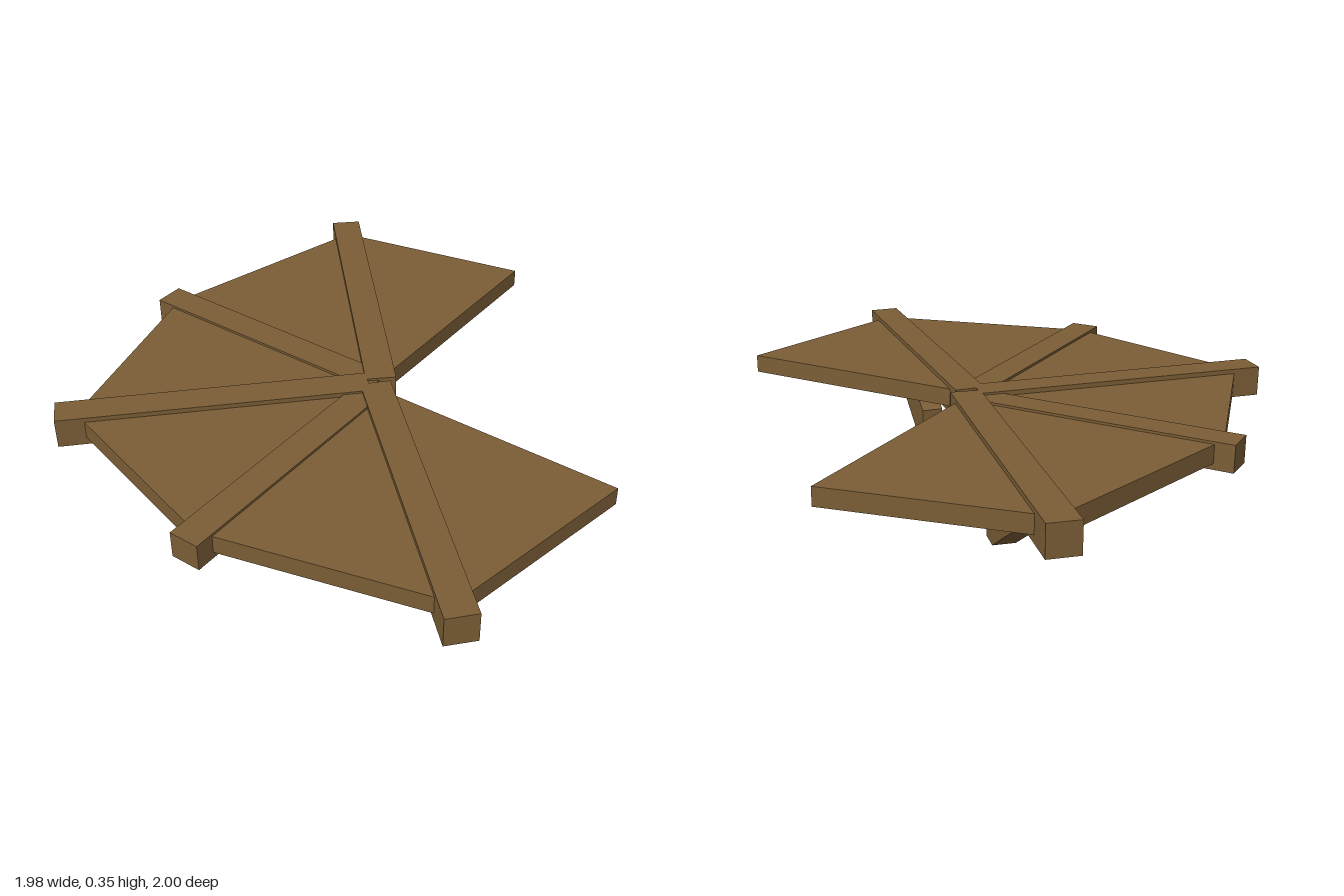
import * as THREE from 'three';

export function createModel() {
  const model = new THREE.Group();
  model.name = 'segmentedPlatform';
  const wood = new THREE.MeshStandardMaterial({ color: 0x7a5d36 });
  wood.name = 'brown wood';

  const extrude = (points, depth) => new THREE.ExtrudeGeometry(
    new THREE.Shape(points.map(([x, y]) => new THREE.Vector2(x, y))),
    { depth, bevelEnabled: false });
  const add = (parent, name, geometry) => {
    const mesh = new THREE.Mesh(geometry, wood);
    mesh.name = name;
    parent.add(mesh);
  };

  // Radial beams: outer end, inner end, bottom and top heights
  const beams = [
    { out: [-0.77, -0.905], inner: [0.025, -0.043], low: 0.245, high: 0.355 },
    { out: [-0.99, -0.035], inner: [0.02, -0.035], low: 0.25, high: 0.347 },
    { out: [-0.77, 0.78], inner: [0.0, 0.0], low: 0.245, high: 0.355 },
    { out: [0.025, 1.0], inner: [0.025, -0.01], low: 0.25, high: 0.347 },
    { out: [0.895, 0.783], inner: [0.023, -0.01], low: 0.245, high: 0.355 },
  ];
  // Brace profile: distance inward from the beam's outer end, height
  const brace = [[0.24, 0.25], [0.63, 0], [0.71, 0], [0.71, 0.12], [0.505, 0.25]];

  for (const { out, inner, low, high } of beams) {
    const dx = inner[0] - out[0], dz = inner[1] - out[1];
    const length = Math.hypot(dx, dz);
    const arm = new THREE.Group();
    arm.name = 'supportArm';
    arm.position.set(out[0], 0, out[1]);
    arm.rotation.y = Math.atan2(-dz, dx);
    add(arm, 'beam', new THREE.BoxGeometry(length, high - low, 0.11)
      .translate(length / 2, (low + high) / 2, 0));
    add(arm, 'diagonalBrace', extrude(brace, 0.08).translate(0, 0, -0.04));
    model.add(arm);
  }

  // Deck panels between the beams, as plan outlines in x and z
  const hub = [0.015, -0.005];
  const rim = [[0.015, -1], [-0.72, -0.85], [-0.935, -0.035], [-0.72, 0.73],
    [0.025, 0.945], [0.84, 0.735], [0.985, -0.005]];
  for (let i = 0; i < rim.length - 1; i++) {
    // Straight rim edges reach both sides of the straight beams
    const outline = [hub, rim[i], rim[i + 1]].map(([x, z]) => [x, -z]);
    add(model, 'deckPanel', extrude(outline, 0.066)
      .rotateX(-Math.PI / 2).translate(0, 0.272, 0));
  }
  return model;
}
